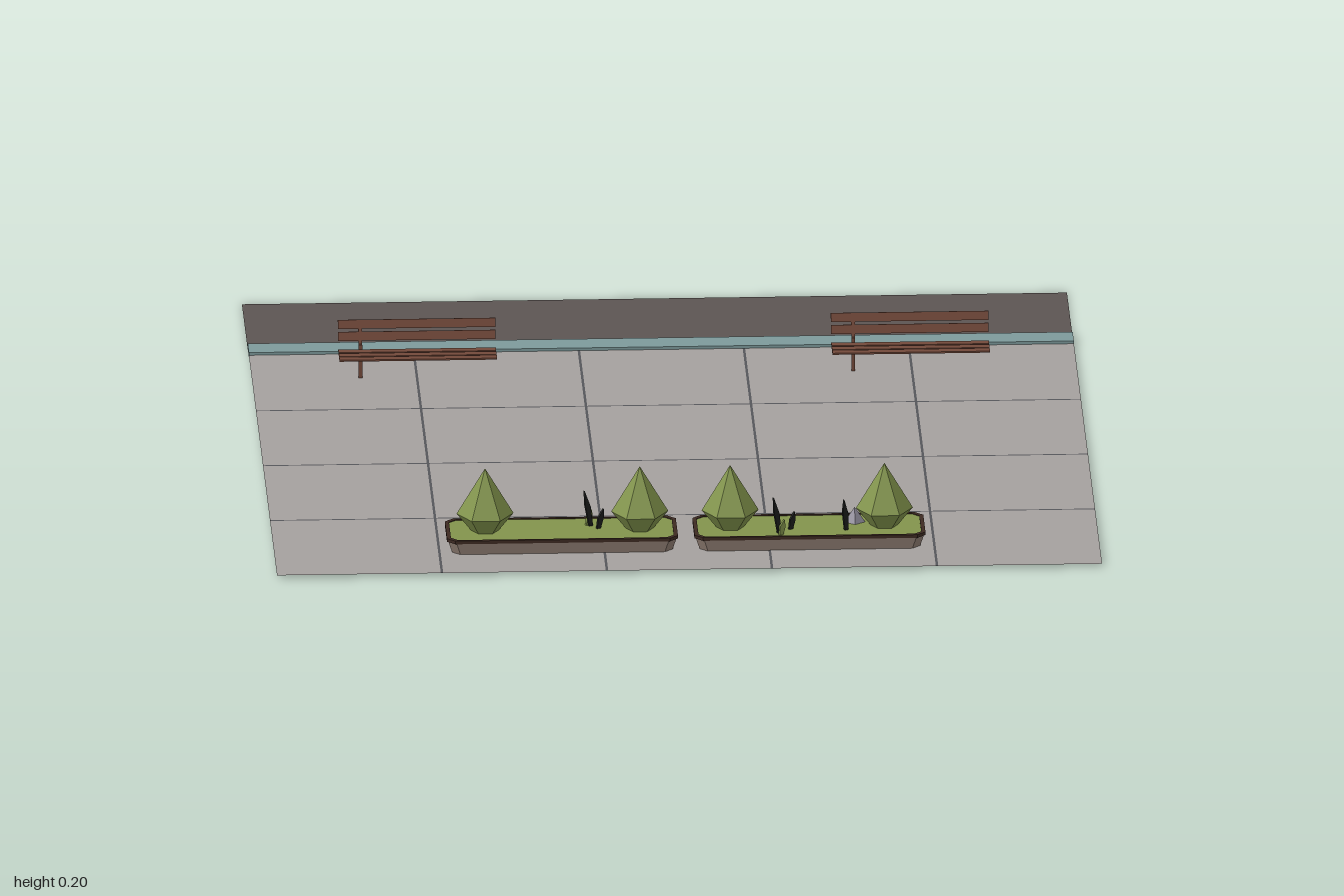
import * as THREE from 'three';

const mat = (name, color, extra = {}) =>
  Object.assign(new THREE.MeshStandardMaterial({ color, flatShading: true, side: THREE.DoubleSide, ...extra }), { name });

export function createModel() {
  const root = new THREE.Group();
  const paving = mat('paving grey', 0xa5a09e);
  const joint = mat('joint grey', 0x55565a);
  const asphalt = mat('asphalt', 0x5c5553);
  const kerbTeal = mat('kerb teal', 0x7d9a9b);
  const stone = mat('planter stone', 0x8f7d72);
  const darkWood = mat('rim brown', 0x3d2a22);
  const wood = mat('bench wood', 0x73493a);
  const green = mat('foliage green', 0x82944c);
  const twigDark = mat('twig dark', 0x1c1e1c);
  const rockGrey = mat('rock grey', 0x858290);

  const add = (parent, name, geo, material, x = 0, y = 0, z = 0) => {
    const mesh = new THREE.Mesh(geo, material);
    mesh.name = name;
    mesh.position.set(x, y, z);
    parent.add(mesh);
    return mesh;
  };
  const sheet = (parent, name, material, x0, x1, z0, z1, y) =>
    add(parent, name, new THREE.PlaneGeometry(x1 - x0, z1 - z0).rotateX(-Math.PI / 2),
      material, (x0 + x1) / 2, y, (z0 + z1) / 2);

  // Road, kerb and paving slabs with narrow joints
  const floorY = 0.008, gap = 0.003;
  const ground = new THREE.Group();
  ground.name = 'ground';
  root.add(ground);
  sheet(ground, 'road', asphalt, -1, 1, -1, -0.68, 0);
  add(ground, 'kerb', new THREE.BoxGeometry(2, 0.012, 0.066), kerbTeal, 0, 0.009, -0.638);
  add(ground, 'kerbLip', new THREE.BoxGeometry(2, 0.009, 0.01), kerbTeal, 0, 0.0045, -0.676);
  const xs = [-1, -0.6, -0.2, 0.2, 0.6, 1];
  const zs = [-0.605, -0.2, 0.2, 0.6, 1];
  for (let j = 0; j < zs.length - 1; j++) {
    const z0 = zs[j] + (j ? gap : 0), z1 = zs[j + 1] - (j < 3 ? gap : 0);
    for (let i = 0; i < xs.length - 1; i++) {
      const x0 = xs[i] + (i ? gap : 0), x1 = xs[i + 1] - (i < 4 ? gap : 0);
      sheet(ground, 'pavingSlab', paving, x0, x1, z0, z1, floorY);
      if (i < 4) sheet(ground, 'slabJoint', joint, x1, x1 + 2 * gap, z0, z1, floorY);
    }
    if (j < 3) sheet(ground, 'slabJoint', joint, -1, 1, z1, z1 + 2 * gap, floorY);
  }

  // Rectangle with cut corners
  const outline = (w, d, c, ShapeType = THREE.Shape) => {
    const a = w / 2, b = d / 2;
    return new ShapeType([[a - c, -b], [a, -b + c], [a, b - c], [a - c, b],
      [-a + c, b], [-a, b - c], [-a, -b + c], [-a + c, -b]].map(p => new THREE.Vector2(...p)));
  };
  const raised = (shape, h) =>
    new THREE.ExtrudeGeometry(shape, { depth: h, bevelEnabled: false }).rotateX(-Math.PI / 2);

  // Bush: six-sided spindle
  const bushGeo = new THREE.LatheGeometry(
    [[0, 0], [0.034, 0], [0.069, 0.043], [0, 0.158]].map(p => new THREE.Vector2(...p)), 6, Math.PI / 2);

  // Twig: a bent, tapering blade
  const twig = (parent, x, z, h, lean, material) => {
    const s = new THREE.Shape([[-0.004, 0], [0.006, 0], [0.008 + lean * 0.5, h * 0.55],
      [lean, h], [-0.007 + lean * 0.5, h * 0.6]].map(p => new THREE.Vector2(...p)));
    const mesh = add(parent, 'twig', new THREE.ExtrudeGeometry(s, { depth: 0.006, bevelEnabled: false }),
      material, x, 0.042, z);
    mesh.rotation.y = 0.5;
  };

  // Planters with flared stone base, dark rim, soil cover and bushes
  const planter = (cx, bushes, twigs) => {
    const g = new THREE.Group();
    g.name = 'planter';
    root.add(g);
    const w = 0.56, d = 0.165, z = 0.795;
    const baseGeo = raised(outline(w - 0.006, d - 0.004, 0.02), 0.03);
    const pos = baseGeo.attributes.position;
    for (let i = 0; i < pos.count; i++)
      if (pos.getY(i) < 0.01) pos.setXYZ(i, pos.getX(i) * 0.965, pos.getY(i), pos.getZ(i) * 0.94);
    baseGeo.computeVertexNormals();
    add(g, 'planterBase', baseGeo, stone, cx, 0.009, z);
    const rim = outline(w, d, 0.02);
    rim.holes.push(outline(w - 0.02, d - 0.016, 0.017, THREE.Path));
    add(g, 'planterRim', raised(rim, 0.008), darkWood, cx, 0.038, z);
    add(g, 'grass', new THREE.ShapeGeometry(outline(w - 0.02, d - 0.016, 0.017)).rotateX(-Math.PI / 2),
      green, cx, 0.044, z);
    for (const x of bushes) add(g, 'bush', bushGeo, green, x, 0.044, 0.793);
    for (const [x, tz, h, lean, m] of twigs) twig(g, x, tz, h, lean, m);
    return g;
  };
  planter(-0.302, [-0.487, -0.112], [
    [-0.232, 0.77, 0.095, -0.018, twigDark], [-0.24, 0.765, 0.04, 0.012, green],
    [-0.215, 0.79, 0.05, 0.015, twigDark]]);
  const rightPlanter = planter(0.298, [0.107, 0.481], [
    [0.222, 0.84, 0.095, -0.016, twigDark], [0.25, 0.815, 0.045, 0.012, twigDark],
    [0.225, 0.855, 0.04, 0.01, green], [0.385, 0.825, 0.08, -0.006, twigDark]]);
  add(rightPlanter, 'rock', new THREE.ConeGeometry(0.03, 0.04, 5), rockGrey, 0.41, 0.06, 0.765);

  // Benches: three seat slats, two leaning back slats, one post
  for (const x of [-0.6, 0.595]) {
    const g = new THREE.Group();
    g.name = 'bench';
    g.position.x = x;
    root.add(g);
    for (const z of [-0.361, -0.388, -0.416])
      add(g, 'seatSlat', new THREE.BoxGeometry(0.382, 0.004, 0.022), wood, 0, 0.08, z);
    for (const [y, z] of [[0.111, -0.441], [0.139, -0.449]])
      add(g, 'backSlat', new THREE.BoxGeometry(0.382, 0.022, 0.004), wood, 0, y, z).rotation.x = -0.27;
    add(g, 'post', new THREE.BoxGeometry(0.009, 0.084, 0.007), wood, -0.137, 0.05, -0.433);
    add(g, 'seatBracket', new THREE.BoxGeometry(0.009, 0.004, 0.05), wood, -0.137, 0.076, -0.41);
    add(g, 'backBracket', new THREE.BoxGeometry(0.009, 0.058, 0.004), wood, -0.137, 0.117, -0.446).rotation.x = -0.27;
  }
  return root;
}
